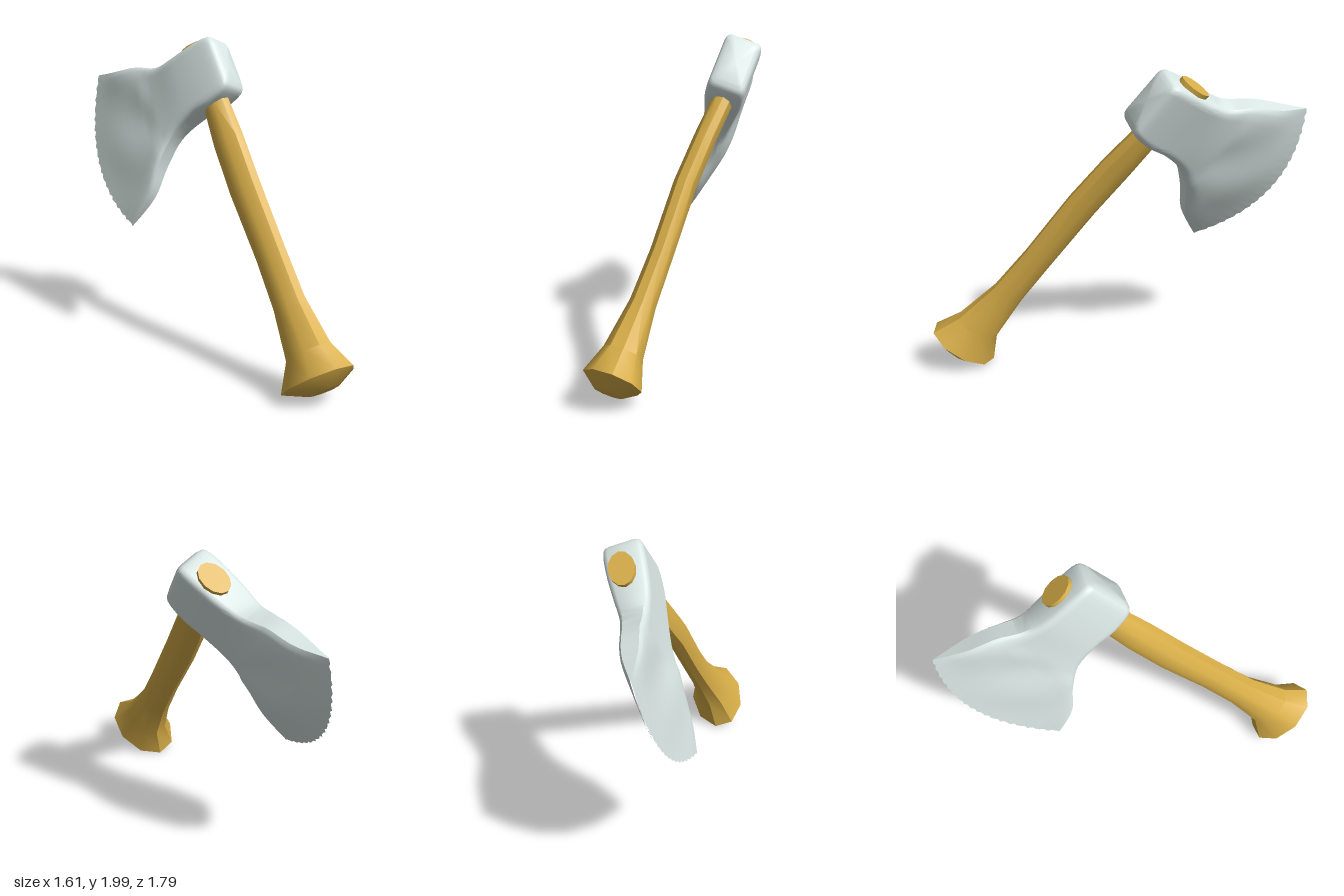
import * as THREE from 'three';
import { toCreasedNormals } from 'three/addons/utils/BufferGeometryUtils.js';

const V = (x, y, z) => new THREE.Vector3(x, y, z);

// Skin a list of equal-length closed rings, with optional fan caps at the ends
function loft(rings, capStart, capEnd, crease) {
  const pos = [], index = [], n = rings[0].length;
  rings.forEach(r => r.forEach(p => pos.push(p.x, p.y, p.z)));
  for (let i = 0; i < rings.length - 1; i++) {
    for (let j = 0; j < n; j++) {
      const k = (j + 1) % n;
      const a = i * n + j, b = a + n, c = (i + 1) * n + k, d = i * n + k;
      index.push(a, b, c, a, c, d);
    }
  }
  const cap = (i, flip) => {
    const centre = rings[i].reduce((s, p) => s.add(p), V(0, 0, 0)).divideScalar(n);
    const m = pos.length / 3;
    pos.push(centre.x, centre.y, centre.z);
    for (let j = 0; j < n; j++) {
      const a = i * n + j, b = i * n + (j + 1) % n;
      index.push(m, flip ? b : a, flip ? a : b);
    }
  };
  if (capStart) cap(0, false);
  if (capEnd) cap(rings.length - 1, true);
  const g = new THREE.BufferGeometry();
  g.setAttribute('position', new THREE.Float32BufferAttribute(pos, 3));
  g.setIndex(index);
  return toCreasedNormals(g, crease);
}

// Handle: hewn oval sections from the head down to the flared, domed knob
function handleGeometry() {
  const sections = [ // height, half width, half depth, width offset, depth offset
    [-0.1, 0.085, 0.07, 0, 0], [-0.47, 0.09, 0.068, 0, 0], [-0.72, 0.105, 0.07, 0, 0.015],
    [-1.05, 0.107, 0.072, 0, 0.025], [-1.5, 0.102, 0.072, 0, 0.005], [-1.82, 0.108, 0.08, 0, 0],
    [-2.13, 0.15, 0.12, 0.01, 0], [-2.3, 0.242, 0.178, 0, 0], [-2.365, 0.1, 0.09, 0.01, 0],
  ];
  const sides = 9;
  return loft(sections.map(([y, a, b, dx, dz]) => Array.from({ length: sides }, (_, j) => {
    const t = (j / sides) * Math.PI * 2;
    return V(dx + a * Math.cos(t), y, dz - b * Math.sin(t));
  })), true, true, 0.7);
}

// Head: columns run from the blunt poll to the cutting edge
function headGeometry() {
  const upper = new THREE.CatmullRomCurve3([ // reach, height, half thickness
    V(-0.175, -0.11, 0.08), V(-0.14, -0.067, 0.115), V(0, -0.055, 0.12), V(0.16, -0.055, 0.108),
    V(0.3, -0.035, 0.085), V(0.45, 0.06, 0.072), V(0.62, 0.13, 0.055), V(0.78, 0.205, 0.003),
  ], false, 'catmullrom');
  const lower = new THREE.CatmullRomCurve3([ // reach, height, forward bulge
    V(-0.175, -0.39, 0), V(-0.14, -0.445, 0), V(0, -0.475, 0), V(0.16, -0.475, 0),
    V(0.34, -0.52, 0.02), V(0.5, -0.635, 0.05), V(0.65, -0.79, 0.11), V(0.858, -0.9, 0.19),
  ], false, 'catmullrom');
  const columns = 28, rows = 48, rings = [];
  for (let i = 0; i <= columns; i++) {
    const a = upper.getPoint(i / columns), b = lower.getPoint(i / columns);
    const bend = THREE.MathUtils.smoothstep(a.x, 0.15, 0.75);
    const front = [], back = [];
    for (let j = 0; j <= rows; j++) {
      const v = j / rows, hump = 4 * v * (1 - v);
      // Rounded rims, worn flanks and a chipped edge
      const e = Math.min(1, Math.min(v, 1 - v) / 0.12);
      const round = 0.7 + 0.3 * Math.sqrt(1 - (1 - e) ** 2);
      const wear = a.x > 0.4 ? 1 + 0.1 * Math.sin(9 * v + 14 * a.x) : 1;
      const chip = i === columns ? 0.007 * Math.sin(j * 2.4) : 0;
      const x = -(THREE.MathUtils.lerp(a.x, b.x, v) + b.z * hump + chip);
      const y = THREE.MathUtils.lerp(a.y, b.y, v);
      // The blade is dished and slightly twisted
      const mid = bend * (THREE.MathUtils.lerp(-0.035, 0.015, v) - 0.05 * hump);
      const z = Math.max(0.002, a.z * round * wear);
      front.push(V(x, y, mid + z));
      back.unshift(V(x, y, mid - z));
    }
    rings.push([...front, ...back]);
  }
  return loft(rings, true, false, 0.6);
}

export function createModel() {
  const steel = new THREE.MeshStandardMaterial({ color: 0xd9e6e3 });
  const wood = new THREE.MeshStandardMaterial({ color: 0xd8ae48 });
  const axe = new THREE.Group();
  axe.name = 'axe';
  const add = (name, geometry, material) => {
    const mesh = new THREE.Mesh(geometry, material);
    mesh.name = name;
    axe.add(mesh);
    return mesh;
  };

  add('head', headGeometry(), steel);
  add('handle', handleGeometry(), wood);

  // Handle end showing through the eye of the head
  const end = add('handleEnd', new THREE.CylinderGeometry(1, 1, 0.1, 12), wood);
  end.scale.set(0.105, 1, 0.077);
  end.position.set(-0.02, -0.08, -0.015);

  // Lean the axe: local y follows the handle, local -x points to the blade
  const up = V(-0.312, 0.78, -0.542).normalize();
  const side = V(-0.543, 0.322, 0.776);
  const poll = V(0, 0, 0).crossVectors(up, side).normalize();
  side.crossVectors(poll, up);
  axe.quaternion.setFromRotationMatrix(new THREE.Matrix4().makeBasis(poll, up, side));
  axe.position.set(-0.12, 1.95, -0.5);

  const model = new THREE.Group();
  model.name = 'leaningAxe';
  model.add(axe);
  return model;
}
